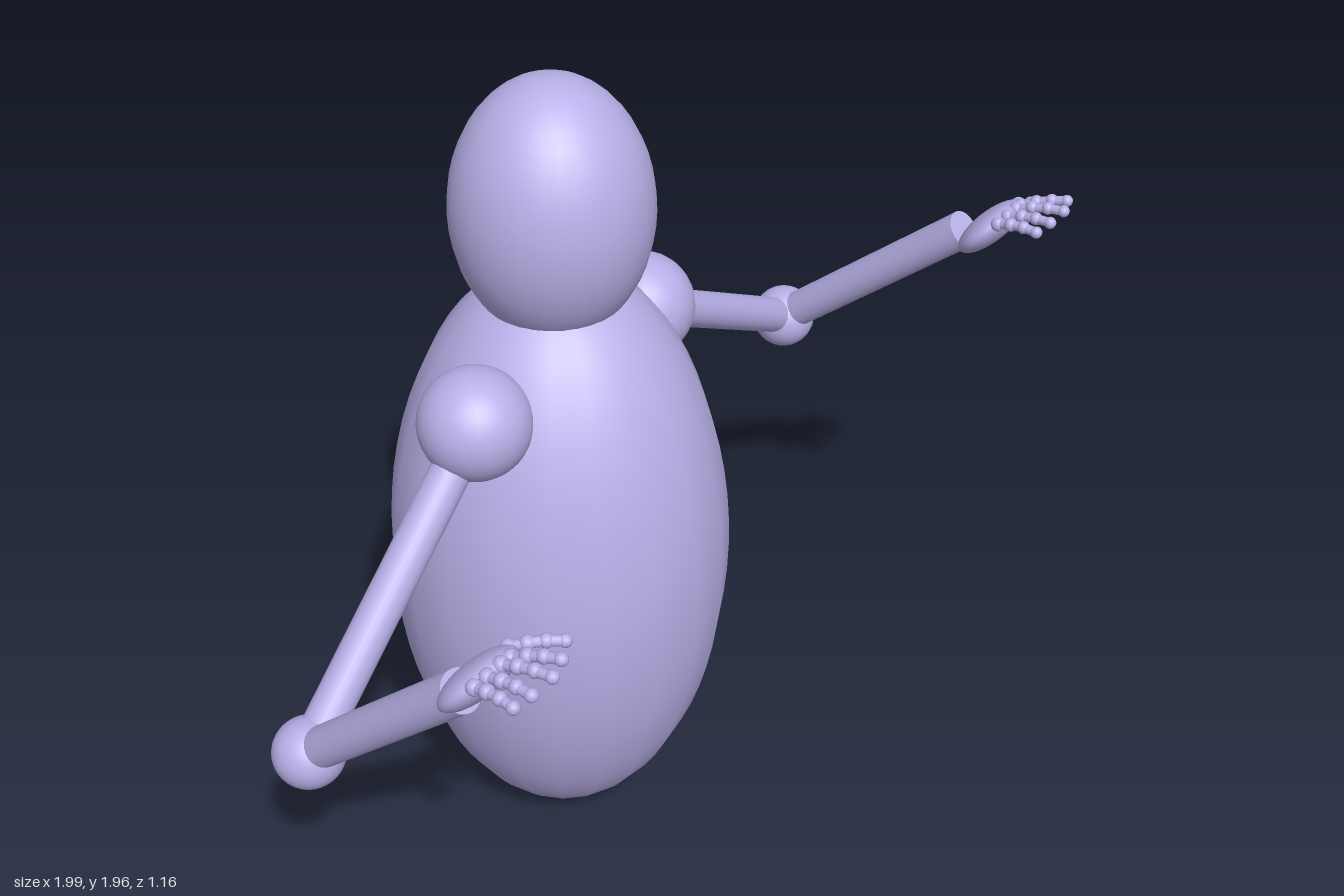
import * as THREE from 'three';

const material = new THREE.MeshStandardMaterial({ color: 0xb8b0e8 });
const V = (a) => new THREE.Vector3(...a);

// Sphere or ellipsoid
function ball(name, center, radii, segments = 32, rings = 20) {
  const mesh = new THREE.Mesh(new THREE.SphereGeometry(1, segments, rings), material);
  mesh.name = name;
  mesh.position.set(...center);
  mesh.scale.set(...radii);
  return mesh;
}

// Capped cylinder between two points
function rod(name, a, b, radius, sides = 24) {
  const dir = b.clone().sub(a);
  const mesh = new THREE.Mesh(new THREE.CylinderGeometry(radius, radius, dir.length(), sides), material);
  mesh.name = name;
  mesh.position.copy(a).addScaledVector(dir, 0.5);
  mesh.quaternion.setFromUnitVectors(new THREE.Vector3(0, 1, 0), dir.normalize());
  return mesh;
}

// Beaded finger: three slim bones with round joints, slightly arched
function finger(name, base, tip) {
  const group = new THREE.Group();
  group.name = name;
  const mid = base.clone().lerp(tip, 0.5);
  mid.y += 0.012;
  const points = new THREE.QuadraticBezierCurve3(base, mid, tip).getPoints(3);
  points.forEach((p, i) => {
    const r = 0.017 - 0.001 * i;
    group.add(ball('knuckle', p.toArray(), [r, r, r], 12, 8));
    if (i) group.add(rod('fingerBone', points[i - 1], p, 0.011, 10));
  });
  return group;
}

function arm({ name, shoulder, elbow, wrist, palm, fingers }) {
  const group = new THREE.Group();
  group.name = name;
  group.add(
    ball('shoulder', shoulder, [0.125, 0.125, 0.125]),
    rod('upperArm', V(shoulder), V(elbow), 0.045),
    ball('elbow', elbow, [0.079, 0.079, 0.079]),
    rod('forearm', V(elbow), V(wrist), 0.045)
  );

  // Flattened palm tilted upward and forward
  const hand = ball('palm', palm, [0.09, 0.036, 0.092]);
  hand.rotation.x = -0.87;
  group.add(hand);

  // Each finger is given as base and tip offsets from the palm centre
  fingers.forEach(([base, tip], i) => {
    const label = i === 4 ? 'thumb' : 'finger';
    group.add(finger(label, V(palm).add(V(base)), V(palm).add(V(tip))));
  });
  return group;
}

export function createModel() {
  const model = new THREE.Group();
  model.name = 'figure';

  model.add(
    ball('body', [-0.025, 0.762, -0.178], [0.4, 0.762, 0.4], 20, 32),
    ball('head', [-0.025, 1.665, -0.178], [0.222, 0.297, 0.222], 32, 24)
  );

  // Four fingers shared by both hands
  const four = [
    [[-0.06, 0.048, 0.045], [-0.075, 0.068, 0.148]],
    [[-0.035, 0.06, 0.055], [-0.045, 0.085, 0.165]],
    [[0, 0.066, 0.058], [0.005, 0.095, 0.172]],
    [[0.03, 0.06, 0.055], [0.048, 0.098, 0.158]],
  ];

  model.add(
    arm({
      name: 'rightArm',
      shoulder: [-0.335, 1.297, -0.15],
      elbow: [-0.896, 0.767, -0.16],
      wrist: [-0.9, 1.195, 0.29],
      palm: [-0.908, 1.26, 0.342],
      fingers: [...four, [[0.07, 0.035, 0.015], [0.138, 0.045, 0.095]]],
    }),
    arm({
      name: 'leftArm',
      shoulder: [0.255, 1.297, -0.15],
      elbow: [0.898, 0.942, -0.16],
      wrist: [0.9, 1.365, 0.325],
      palm: [0.897, 1.397, 0.395],
      fingers: [...four, [[0.07, 0.038, 0.03], [0.085, 0.05, 0.115]]],
    })
  );
  return model;
}
